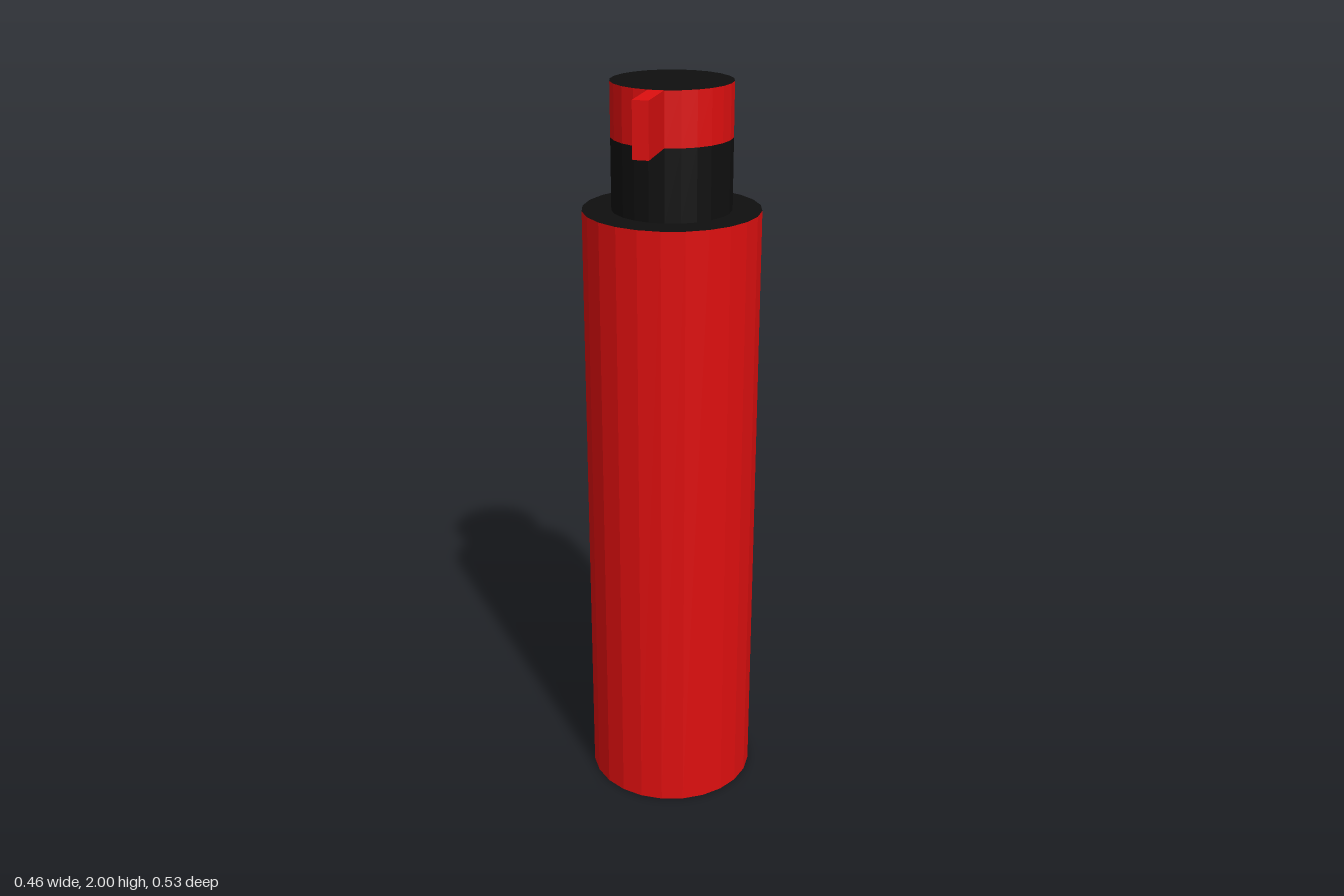
import * as THREE from 'three';

export function createModel() {
  const group = new THREE.Group();
  const material = (name, color) => {
    const m = new THREE.MeshStandardMaterial({ color, flatShading: true });
    m.name = name;
    return m;
  };
  const red = material('red', 0xdd0f0f);
  const black = material('black', 0x0f0f0f);
  const AXIS_Z = -0.033;

  // 24-sided upright cylinder from y0 to y1, with black end faces
  const cylinder = (name, radius, y0, y1, side) => {
    const geometry = new THREE.CylinderGeometry(radius, radius, y1 - y0, 24);
    const mesh = new THREE.Mesh(geometry, [side, black, black]);
    mesh.name = name;
    mesh.position.set(0, (y0 + y1) / 2, AXIS_Z);
    group.add(mesh);
  };

  cylinder('body', 0.232, 0, 1.677, red);
  cylinder('neck', 0.156, 1.677, 1.862, black);
  cylinder('cap', 0.156, 1.862, 2, red);

  // Slightly turned lever at the front of the cap
  const lever = new THREE.Mesh(new THREE.BoxGeometry(0.04, 0.138, 0.139), red);
  lever.name = 'lever';
  lever.position.set(0.029, 1.931, 0.1915);
  lever.rotation.y = 0.13;
  group.add(lever);

  return group;
}
